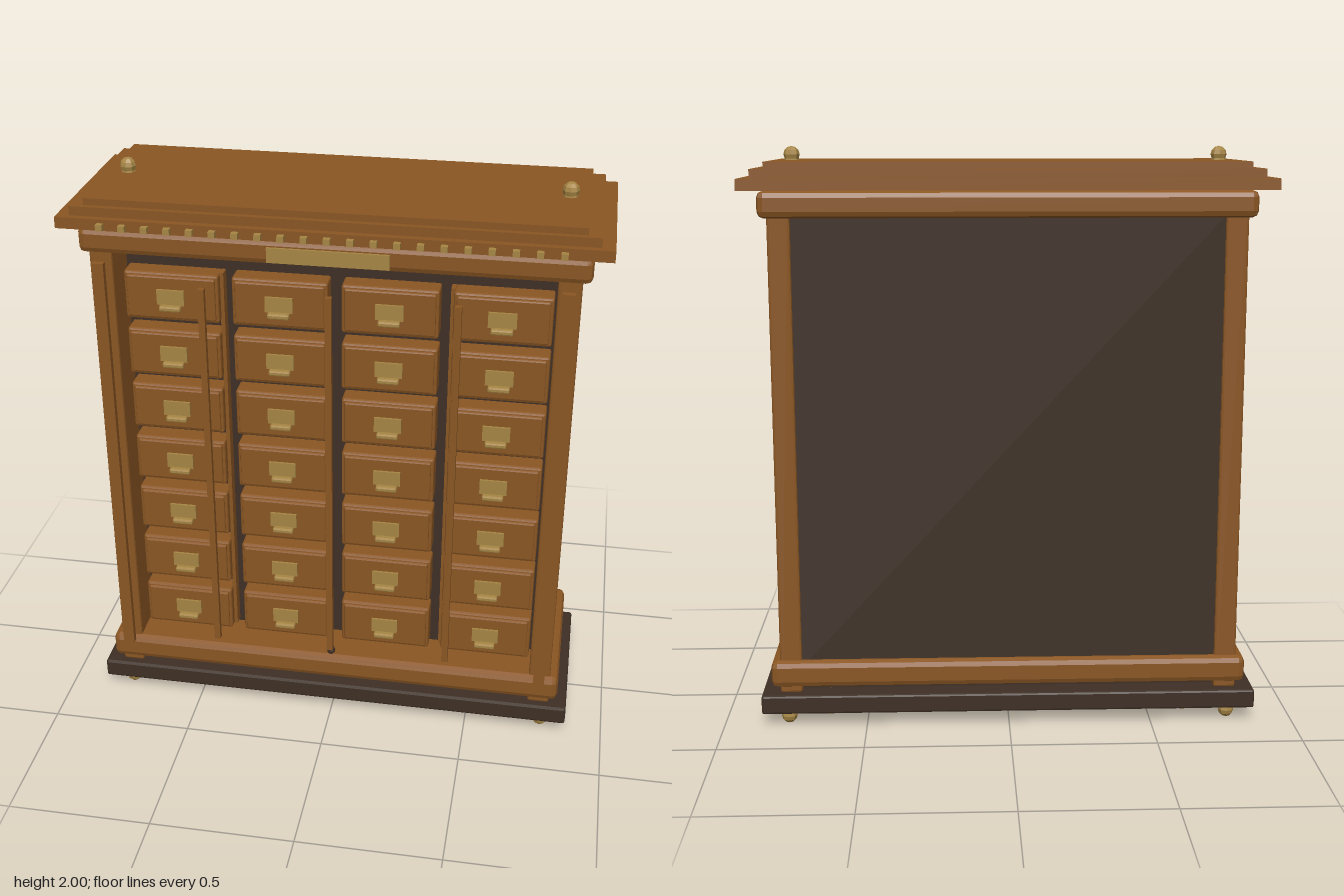
import * as THREE from 'three';
import { RoundedBoxGeometry } from 'three/addons/geometries/RoundedBoxGeometry.js';

export function createModel() {
  const model = new THREE.Group();
  model.name = 'drawerCabinet';

  const material = (name, color) => {
    const m = new THREE.MeshStandardMaterial({ color, flatShading: true });
    m.name = name;
    return m;
  };
  const wood = material('warmWood', 0x8a5623);
  const dark = material('darkWood', 0x3e2f25);
  const brass = material('brass', 0xa68544);

  const CZ = -0.01; // depth centre of the carcass

  const add = (name, geometry, mat, x, y, z, parent = model) => {
    const mesh = new THREE.Mesh(geometry, mat);
    mesh.name = name;
    mesh.position.set(x, y, z);
    parent.add(mesh);
    return mesh;
  };
  // Box given by its limits, with optional chamfered edges
  const block = (name, mat, [x0, x1], [y0, y1], [z0, z1], bevel = 0, parent = model) => {
    const size = [x1 - x0, y1 - y0, z1 - z0];
    const geo = bevel ? new RoundedBoxGeometry(...size, 1, bevel) : new THREE.BoxGeometry(...size);
    return add(name, geo, mat, (x0 + x1) / 2, (y0 + y1) / 2, (z0 + z1) / 2, parent);
  };

  // Plinth and base moulding
  block('plinth', dark, [-0.867, 0.867], [0.047, 0.115], [-0.317, 0.3], 0.008);
  block('baseMoulding', wood, [-0.832, 0.832], [0.14, 0.235], [-0.308, 0.292], 0.022);
  block('floorBoard', dark, [-0.72, 0.72], [0.132, 0.142], [-0.28, 0.25]);

  // Carcass: side panels, dark core, back
  for (const s of [-1, 1]) {
    const x = (a, b) => (s > 0 ? [a, b] : [-b, -a]);
    block('sidePanel', wood, x(0.725, 0.802), [0.115, 1.78], [-0.285, 0.272], 0.008);
    block('pilaster', wood, x(0.742, 0.782), [0.227, 1.745], [0.294, 0.316]);
  }
  block('darkCore', dark, [-0.73, 0.73], [0.2, 1.78], [-0.277, 0.12]);
  block('frieze', wood, [-0.832, 0.832], [1.768, 1.858], [-0.308, 0.292], 0.022);

  // Stepped cornice
  block('corniceLower', wood, [-0.893, 0.893], [1.86, 1.898], [-0.335, 0.315]);
  block('corniceMiddle', wood, [-0.85, 0.85], [1.898, 1.929], [-0.315, 0.292]);
  block('corniceTop', wood, [-0.806, 0.806], [1.929, 1.952], [-0.298, 0.273]);

  // Row of dentils
  const dentil = new THREE.BoxGeometry(0.022, 0.02, 0.022);
  for (let i = 0; i < 21; i++) add('dentil', dentil, brass, (i - 10) * 0.074, 1.876, 0.324);

  block('labelPlate', brass, [-0.198, 0.198], [1.787, 1.837], [0.306, 0.315]);

  // Drawers in four columns and seven rows
  const surround = new RoundedBoxGeometry(0.324, 0.172, 0.09, 1, 0.008);
  const face = new RoundedBoxGeometry(0.304, 0.152, 0.02, 1, 0.006);
  const plate = new THREE.BoxGeometry(0.094, 0.054, 0.008);
  const pull = new RoundedBoxGeometry(0.074, 0.02, 0.026, 1, 0.006);
  for (let row = 0; row < 7; row++) {
    for (let col = 0; col < 4; col++) {
      const drawer = new THREE.Group();
      drawer.name = 'drawer';
      drawer.position.set((col - 1.5) * 0.37, 0.333 + row * 0.2093, 0.145);
      add('drawerBox', surround, wood, 0, 0, 0, drawer);
      add('drawerFace', face, wood, 0, 0, 0.044, drawer);
      add('handlePlate', plate, brass, 0, 0.004, 0.058, drawer);
      add('handlePull', pull, brass, 0, -0.031, 0.068, drawer);
      model.add(drawer);
    }
  }

  // Slender rods in front of the drawers, and strips between columns
  for (const x of [-0.42, 0, 0.42]) {
    block('frontRod', wood, [x - 0.011, x + 0.011], [0.285, 1.677], [0.295, 0.316]);
  }
  for (const x of [-0.388, 0.388]) {
    block('columnStrip', wood, [x - 0.007, x + 0.007], [0.25, 1.675], [0.12, 0.16]);
  }
  add('lowerKnob', new THREE.SphereGeometry(0.016, 8, 6), dark, 0, 0.265, 0.285);

  // Turned feet through the plinth, brass balls at the corners, finials on top
  const footProfile = [[0, 0.012], [0.042, 0.012], [0.056, 0.03], [0.056, 0.12], [0.045, 0.142], [0, 0.142]]
    .map(([r, y]) => new THREE.Vector2(r, y));
  const foot = new THREE.LatheGeometry(footProfile, 6, Math.PI / 6);
  const ball = new THREE.SphereGeometry(0.028, 8, 6);
  const collar = new THREE.CylinderGeometry(0.022, 0.026, 0.02, 8);
  for (const s of [-1, 1]) {
    for (const t of [-1, 1]) {
      add('foot', foot, wood, s * 0.637, 0, CZ + t * 0.178);
      add('cornerBall', ball, brass, s * 0.775, 0.028, CZ + t * 0.257);
    }
    add('finialCollar', collar, brass, s * 0.74, 1.958, CZ - 0.003);
    add('finial', ball, brass, s * 0.74, 1.972, CZ - 0.003);
  }

  return model;
}
